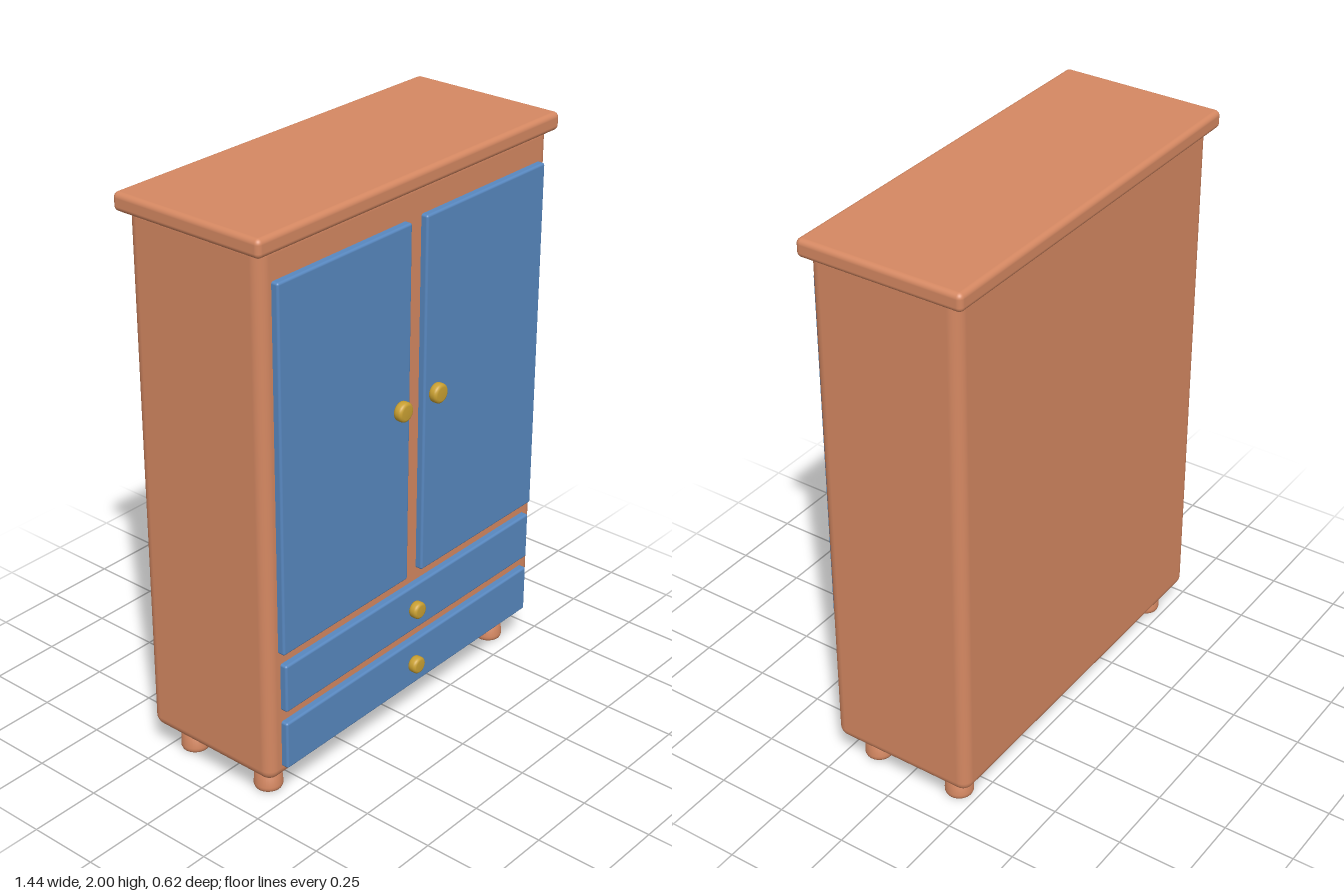
import * as THREE from 'three';
import { RoundedBoxGeometry } from 'three/addons/geometries/RoundedBoxGeometry.js';

const wood = new THREE.MeshStandardMaterial({ color: 0xd58862 });
wood.name = 'wood';
const blue = new THREE.MeshStandardMaterial({ color: 0x5888c0 });
blue.name = 'blue paint';
const brass = new THREE.MeshStandardMaterial({ color: 0xc9a032 });
brass.name = 'brass';

export function createModel() {
  const group = new THREE.Group();
  group.name = 'wardrobe';

  function add(name, geometry, material, x = 0, y = 0, z = 0) {
    const mesh = new THREE.Mesh(geometry, material);
    mesh.name = name;
    mesh.position.set(x, y, z);
    group.add(mesh);
    return mesh;
  }

  // Rounded box given by its lower and upper limits
  function block(name, material, [x0, x1], [y0, y1], [z0, z1], radius) {
    const geometry = new RoundedBoxGeometry(x1 - x0, y1 - y0, z1 - z0, 4, radius);
    add(name, geometry, material, (x0 + x1) / 2, (y0 + y1) / 2, (z0 + z1) / 2);
  }

  // Turned shape from [radius, height] pairs
  function turned(points) {
    return new THREE.LatheGeometry(points.map(([r, h]) => new THREE.Vector2(r, h)), 32);
  }

  // Carcass and overhanging top
  block('body', wood, [-0.693, 0.693], [0.1, 1.965], [-0.28, 0.255], 0.04);
  block('topBoard', wood, [-0.72, 0.72], [1.938, 2], [-0.31, 0.278], 0.018);

  // Round knob standing out from the front
  function knob(name, x, y, r) {
    const geometry = turned([
      [0, -0.01], [r * 0.6, -0.01], [r * 0.6, 0], [r * 0.85, 0], [r * 0.97, 0.005],
      [r, 0.012], [r, 0.021], [r * 0.96, 0.027], [r * 0.85, 0.031], [r * 0.68, 0.033], [0, 0.033],
    ]);
    add(name, geometry, brass, x, y, 0.279).rotation.x = Math.PI / 2;
  }

  // Doors
  for (const [side, s] of [['left', 1], ['right', -1]]) {
    const xs = [0.036 * s, 0.645 * s].sort((a, b) => a - b);
    block(side + 'Door', blue, xs, [0.582, 1.846], [0.235, 0.28], 0.008);
    knob(side + 'DoorKnob', 0.088 * s, 1.228, 0.034);
  }

  // Drawers
  for (const [level, y] of [['upper', 0.451], ['lower', 0.233]]) {
    block(level + 'Drawer', blue, [-0.636, 0.636], [y - 0.087, y + 0.087], [0.235, 0.28], 0.008);
    knob(level + 'DrawerKnob', 0, y, 0.03);
  }

  // Feet, slightly wider towards the floor
  const footGeometry = turned([
    [0, 0], [0.04, 0], [0.046, 0.004], [0.049, 0.012], [0.049, 0.02], [0.042, 0.11], [0, 0.11],
  ]);
  for (const x of [-0.593, 0.593]) {
    for (const z of [-0.18, 0.153]) add('foot', footGeometry, wood, x, 0, z);
  }

  return group;
}
